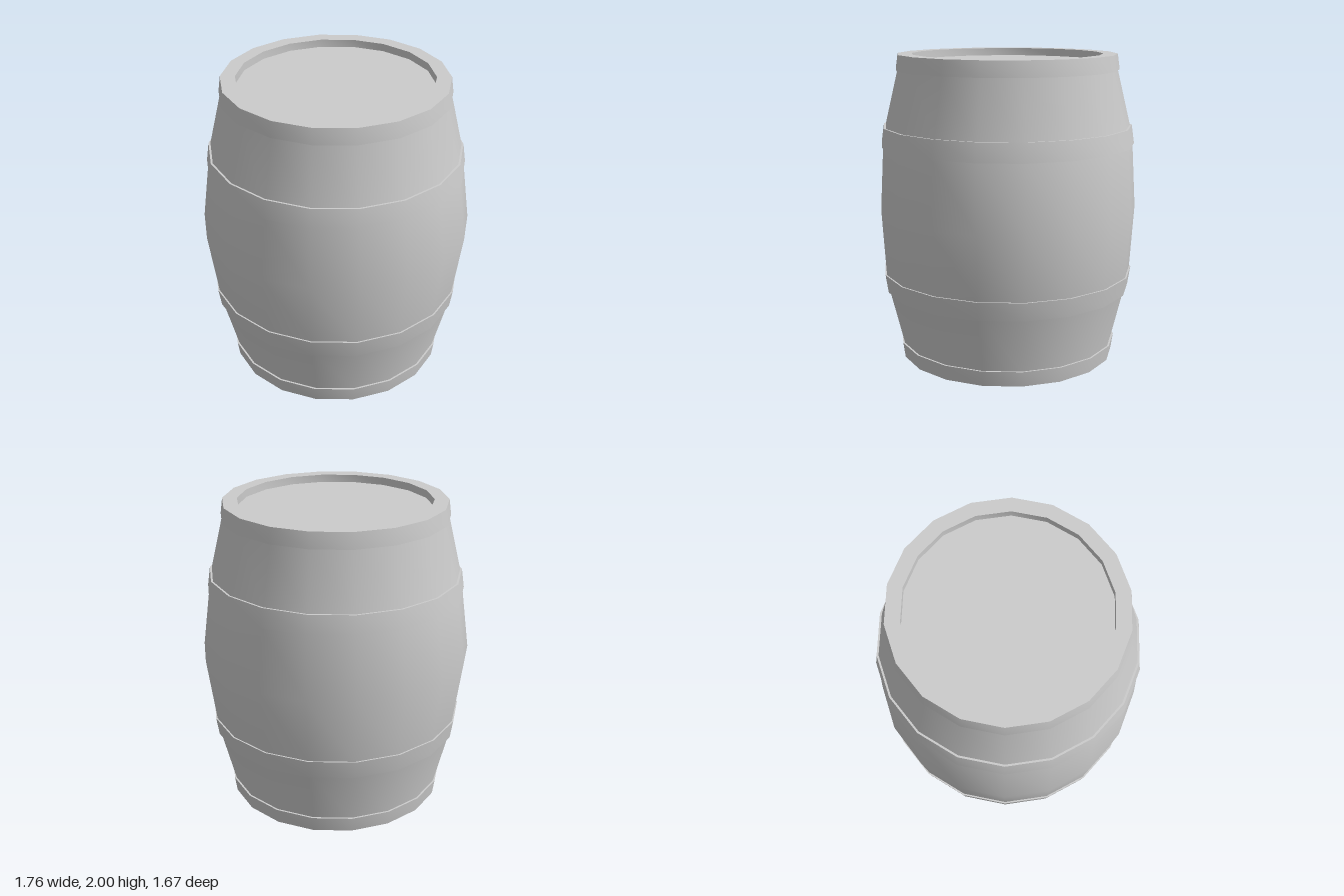
import * as THREE from 'three';
import { toCreasedNormals } from 'three/addons/utils/BufferGeometryUtils.js';

const SIDES = 18;
const HEIGHT = 2;
const RECESS = 0.05;
const LID_RADIUS = 0.62;
const material = new THREE.MeshStandardMaterial({ color: 0xcccccc });

// 18-sided lathe with corners on the x axis; profile given as [radius, y]
function ring(profile) {
  const points = profile.map(([r, y]) => new THREE.Vector2(r, y));
  return new THREE.LatheGeometry(points, SIDES, Math.PI / 2);
}

function part(name, geometry) {
  const mesh = new THREE.Mesh(toCreasedNormals(geometry, Math.PI / 6), material);
  mesh.name = name;
  return mesh;
}

// Appends the mirror image of a lower-half profile above the middle
const mirrored = (half) => [...half].reverse().map(([r, y]) => [r, HEIGHT - y]);

export function createModel() {
  const barrel = new THREE.Group();
  barrel.name = 'barrel';

  // Bulging wall with a rim at each end
  const half = [[LID_RADIUS, RECESS], [LID_RADIUS, 0], [0.705, 0], [0.715, 0.1], [0.805, 0.47], [0.823, 0.58]];
  const wall = ring([...half, [0.88, 1], ...mirrored(half)]);
  // The widest ring is slightly flattened front to back
  const pos = wall.attributes.position;
  for (let i = 0; i < pos.count; i++) {
    if (Math.abs(pos.getY(i) - 1) < 0.01) pos.setZ(i, pos.getZ(i) * 0.963);
  }
  barrel.add(part('staves', wall));

  // Recessed lids
  for (const top of [true, false]) {
    const lid = new THREE.CircleGeometry(LID_RADIUS, SIDES);
    lid.rotateX(top ? -Math.PI / 2 : Math.PI / 2);
    lid.translate(0, top ? HEIGHT - RECESS : RECESS, 0);
    barrel.add(part(top ? 'topLid' : 'bottomLid', lid));
  }

  // Tapered hoops, mirrored above and below the middle
  const hoops = [
    { name: 'EndHoop', y0: 0, r0: 0.713, y1: 0.1, r1: 0.727 },
    { name: 'MiddleHoop', y0: 0.46, r0: 0.815, y1: 0.58, r1: 0.833 },
  ];
  for (const { name, y0, r0, y1, r1 } of hoops) {
    const profile = [[r0 - 0.025, y0], [r0, y0], [r1, y1], [r1 - 0.025, y1]];
    barrel.add(part('lower' + name, ring(profile)));
    barrel.add(part('upper' + name, ring(mirrored(profile))));
  }

  return barrel;
}
